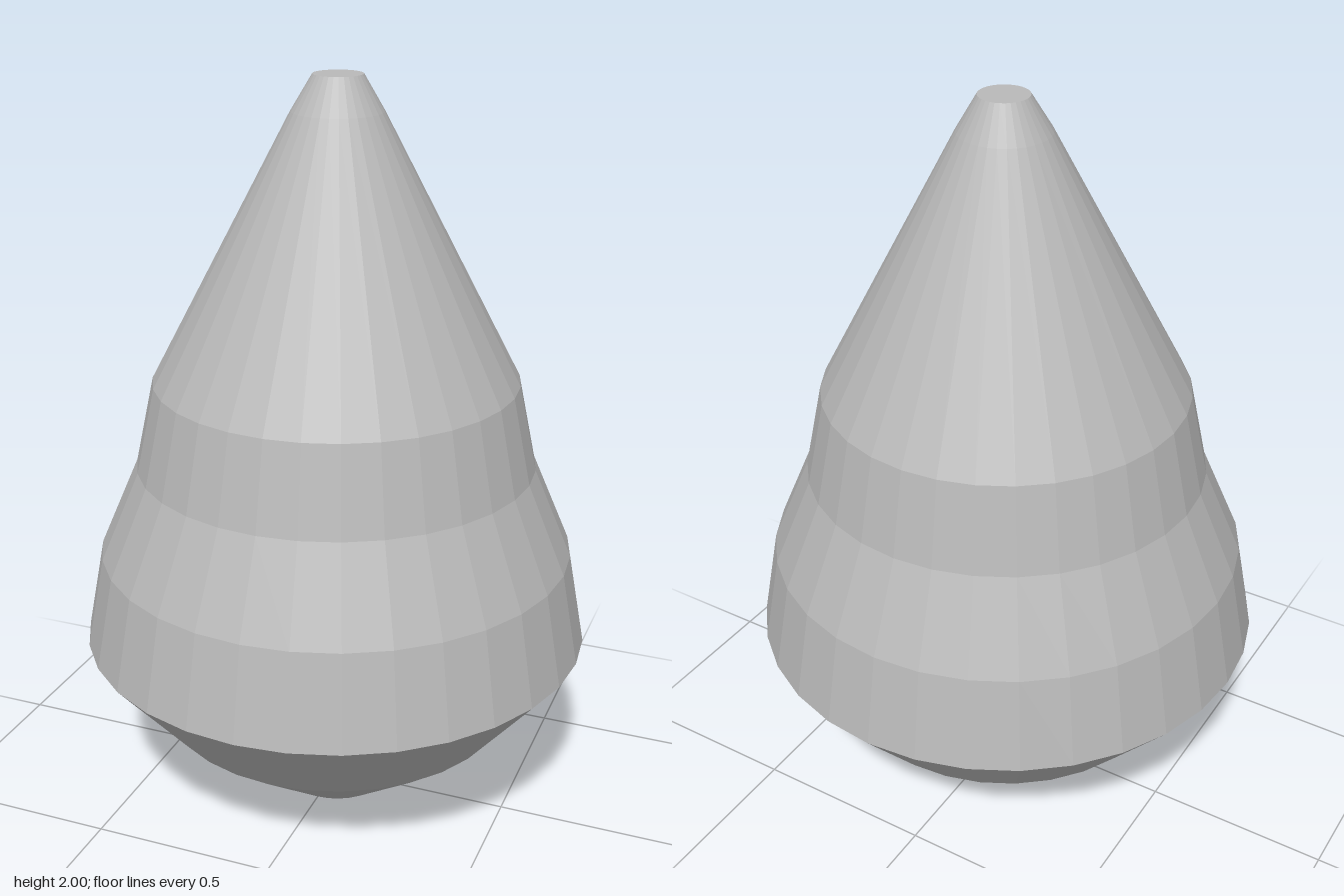
import * as THREE from 'three';

export function createModel() {
  const group = new THREE.Group();
  const grey = new THREE.MeshStandardMaterial({ color: 0xb9b9b9 });
  grey.name = 'plainGrey';

  // Rings as [radius, height, shift along z]
  const rings = [
    [0, 0, -0.012], [0.153, 0, -0.012], [0.486, 0.26, -0.002], [0.685, 0.5, 0],
    [0.637, 0.75, -0.002], [0.533, 0.99, -0.004], [0.483, 1.22, -0.006],
    [0.118, 1.91, -0.013], [0.064, 2, -0.016], [0, 2, -0.016],
  ];

  // Faceted 32-sided turned section, with each ring slightly off-centre
  function section(name, from, to) {
    const part = rings.slice(from, to + 1);
    const lathe = new THREE.LatheGeometry(part.map(([r, y]) => new THREE.Vector2(r, y)), 32);
    const pos = lathe.attributes.position;
    for (let i = 0; i < pos.count; i++) {
      pos.setZ(i, pos.getZ(i) + part[i % part.length][2]);
    }
    const geometry = lathe.toNonIndexed();
    geometry.computeVertexNormals();
    const mesh = new THREE.Mesh(geometry, grey);
    mesh.name = name;
    group.add(mesh);
  }

  section('taperedBase', 0, 3);
  section('steppedBody', 3, 6);
  section('conicalTop', 6, 9);
  return group;
}
